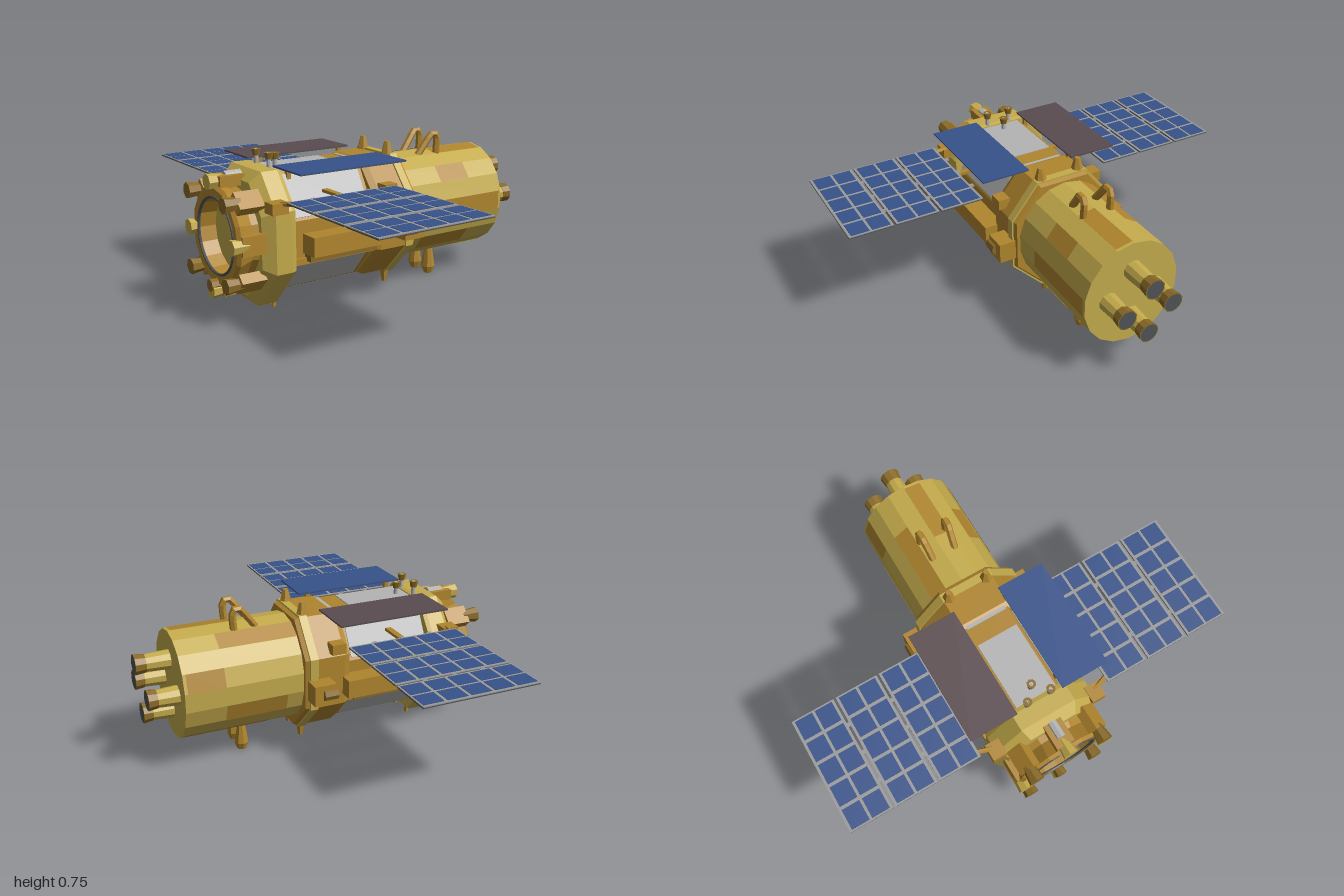
import * as THREE from 'three';

const mat = (color) => new THREE.MeshStandardMaterial({ color, flatShading: true, side: THREE.DoubleSide });
const GOLD = mat(0xc4ab4c), AMBER = mat(0xb0852e), BROWN = mat(0x8a6a26), SILVER = mat(0xb4b4b4),
  FRAME = mat(0x9a9a9a), DARK = mat(0x505356), BLUE = mat(0x36528a), PLUM = mat(0x5a4c50);
const CY = 0.38;

function add(parent, name, geo, m, x = 0, y = 0, z = 0) {
  const mesh = new THREE.Mesh(geo, m);
  mesh.name = name;
  mesh.position.set(x, y, z);
  parent.add(mesh);
  return mesh;
}
const box = (w, h, d) => new THREE.BoxGeometry(w, h, d);
// cylinder lying along z
const tubeZ = (r0, r1, len, n) => new THREE.CylinderGeometry(r1, r0, len, n).rotateX(Math.PI / 2);

// half outline (right side, bottom to top) mirrored into a closed octagon
function octagon(half) {
  return [...half, ...half.slice().reverse().map(([x, y]) => [-x, y])];
}

// capped loft of one outline through [z, scale] sections
function loft(outline, sections) {
  const pos = [], n = outline.length;
  const pt = (i, [z, s]) => [outline[i % n][0] * s, CY + (outline[i % n][1] - CY) * s, z];
  const tri = (a, b, c) => pos.push(...a, ...b, ...c);
  for (let k = 0; k < sections.length - 1; k++) {
    for (let i = 0; i < n; i++) {
      const a = pt(i, sections[k]), b = pt(i + 1, sections[k]);
      const c = pt(i + 1, sections[k + 1]), d = pt(i, sections[k + 1]);
      tri(a, b, c);
      tri(a, c, d);
    }
  }
  const first = sections[0], last = sections[sections.length - 1];
  for (let i = 1; i < n - 1; i++) {
    tri(pt(0, first), pt(i + 1, first), pt(i, first));
    tri(pt(0, last), pt(i, last), pt(i + 1, last));
  }
  const g = new THREE.BufferGeometry();
  g.setAttribute('position', new THREE.Float32BufferAttribute(pos, 3));
  g.computeVertexNormals();
  return g;
}

// thin panel lying between two outline corners
function facePanel(parent, name, [x0, y0], [x1, y1], z0, z1, m, fill = 0.9) {
  const len = Math.hypot(x1 - x0, y1 - y0);
  const p = add(parent, name, box(len * fill, 0.008, z1 - z0), m, (x0 + x1) / 2, (y0 + y1) / 2, (z0 + z1) / 2);
  p.rotation.z = Math.atan2(y1 - y0, x1 - x0);
}

function bentTube(points, r) {
  const curve = new THREE.CatmullRomCurve3(points.map((p) => new THREE.Vector3(...p)));
  return new THREE.TubeGeometry(curve, 10, r, 6);
}

function solarWing(side) {
  const wing = new THREE.Group();
  wing.name = side > 0 ? 'leftSolarWing' : 'rightSolarWing';
  const z0 = 0.06, depth = 0.57, w = 0.212;
  for (let p = 0; p < 3; p++) {
    const x = side * (0.446 + p * 0.2235);
    add(wing, 'panelBack', box(w, 0.005, depth), DARK, x, 0.566, z0 + depth / 2);
    add(wing, 'panelFrame', box(w, 0.004, depth), FRAME, x, 0.5705, z0 + depth / 2);
    for (let c = 0; c < 2; c++) {
      for (let r = 0; r < 5; r++) {
        add(wing, 'solarCell', box(0.087, 0.002, 0.098), BLUE,
          x + (c - 0.5) * 0.1, 0.5733, z0 + depth * (r + 0.5) / 5);
      }
    }
    // hinges towards the body
    for (const z of [0.2, 0.345, 0.49]) {
      add(wing, 'hinge', box(0.024, 0.008, 0.02), FRAME, x - side * 0.112, 0.566, z);
    }
  }
  add(wing, 'wingArm', box(0.16, 0.014, 0.03), AMBER, side * 0.27, 0.56, 0.345);
  add(wing, 'wingStrut', bentTube([[side * 0.2, 0.52, 0.6], [side * 0.27, 0.55, 0.62], [side * 0.35, 0.562, 0.6]], 0.012), AMBER);
  return wing;
}

export function createModel() {
  const model = new THREE.Group();
  model.name = 'satellite';

  // rear barrel with darker foil strips
  const barrel = add(model, 'barrel', tubeZ(0.255, 0.255, 0.6, 18), GOLD, 0, 0.385, -0.395);
  barrel.scale.set(0.96, 1.035, 1);
  for (let i = 0; i < 9; i++) {
    const len = 0.18 + 0.12 * (i % 3);
    const strip = new THREE.CylinderGeometry(0.257, 0.257, len, 1, 1, true, i * 4 * Math.PI / 18, Math.PI / 9);
    const s = add(model, 'foilStrip', strip.rotateX(Math.PI / 2), AMBER, 0, 0.385, -0.68 + len / 2 + 0.09 * ((i * 2) % 4));
    s.scale.copy(barrel.scale);
  }

  // rear thruster tubes
  for (const [x, y, end] of [[0, 0.51, -0.86], [0.12, 0.38, -0.84], [-0.12, 0.38, -0.84], [0, 0.26, -0.84]]) {
    const len = -0.69 - end;
    add(model, 'thrusterBase', tubeZ(0.042, 0.048, len * 0.75, 10), GOLD, x, y, -0.69 - len * 0.375);
    add(model, 'thrusterTip', tubeZ(0.05, 0.044, len * 0.3, 10), BROWN, x, y, end + len * 0.15);
    add(model, 'thrusterEnd', new THREE.CircleGeometry(0.045, 10), DARK, x, y, end - 0.001);
  }

  // octagonal body
  const core = octagon([[0.09, 0.1], [0.235, 0.27], [0.235, 0.45], [0.115, 0.655]]);
  add(model, 'body', loft(core, [[-0.1, 1], [0.58, 1]]), AMBER);
  facePanel(model, 'bottomPanel', core[0], core[7], 0.11, 0.55, SILVER);
  facePanel(model, 'topPanelRear', core[3], core[4], 0, 0.11, SILVER);
  facePanel(model, 'topPanelFront', core[3], core[4], 0.2, 0.56, SILVER);
  for (const i of [0, 2, 4, 6]) {
    facePanel(model, 'slopedPanel', core[i], core[i + 1], 0.13, 0.55, SILVER, 0.88);
  }

  // collar behind the body
  const collar = octagon([[0.11, 0.09], [0.265, 0.25], [0.265, 0.5], [0.13, 0.665]]);
  add(model, 'rearCollar', loft(collar, [[-0.12, 0.97], [-0.1, 1], [0.08, 1], [0.11, 0.95]]), AMBER);
  add(model, 'collarBand', loft(collar, [[-0.1, 1.03], [-0.06, 1.03]]), GOLD);

  // flared plate in front of the body
  const plate = octagon([[0.085, 0.035], [0.265, 0.23], [0.265, 0.51], [0.14, 0.67]]);
  add(model, 'frontPlate', loft(plate, [[0.54, 0.98], [0.56, 1], [0.64, 1], [0.69, 0.84]]), GOLD);
  facePanel(model, 'lowerFrontPanel', plate[0], plate[7], 0.56, 0.63, SILVER);

  // open front ring with a recessed disc
  const profile = [[0.22, 0.66], [0.205, 0.72], [0.235, 0.79], [0.22, 0.805], [0.182, 0.8], [0.175, 0.7]]
    .map(([r, h]) => new THREE.Vector2(r, h));
  add(model, 'frontRing', new THREE.LatheGeometry(profile, 16).rotateX(Math.PI / 2), AMBER, 0, 0.375, 0);
  add(model, 'frontDisc', new THREE.CircleGeometry(0.18, 24), GOLD, 0, 0.375, 0.715);
  add(model, 'ringLip', new THREE.TorusGeometry(0.177, 0.007, 6, 32), DARK, 0, 0.375, 0.8);
  for (let k = 0; k < 8; k++) {
    const a = k * Math.PI / 4, upright = k === 2 || k === 6;
    const r = upright ? 0.25 : k % 2 ? 0.255 : 0.215;
    const lug = new THREE.Group();
    lug.name = 'ringLug';
    lug.position.set(Math.cos(a) * r, 0.375 + Math.sin(a) * r, 0);
    lug.rotation.z = a;
    model.add(lug);
    add(lug, 'lugRoot', box(0.05, 0.09, 0.12), AMBER, 0, 0, 0.73);
    add(lug, 'lugTip', tubeZ(0.028, 0.038, 0.08, 7), k % 2 ? BROWN : GOLD, 0, 0, k % 2 ? 0.81 : 0.795);
  }
  add(model, 'topSensor', tubeZ(0.025, 0.025, 0.08, 8), SILVER, 0, 0.64, 0.71);
  add(model, 'bottomSensor', tubeZ(0.025, 0.03, 0.1, 8), BROWN, 0, 0.15, 0.79);

  for (const s of [1, -1]) {
    // side equipment
    add(model, 'sideBox', box(0.1, 0.09, 0.42), AMBER, s * 0.28, 0.345, 0.28);
    add(model, 'sideBoxTray', box(0.06, 0.04, 0.36), BROWN, s * 0.255, 0.285, 0.3);
    add(model, 'collarBox', box(0.1, 0.1, 0.11), AMBER, s * 0.295, 0.35, -0.055);
    add(model, 'collarPod', tubeZ(0.03, 0.03, 0.07, 8), BROWN, s * 0.335, 0.35, -0.03);
    add(model, 'shoulderBlock', box(0.07, 0.05, 0.08), AMBER, s * 0.265, 0.535, 0.635);
    add(model, 'rearShoulder', box(0.06, 0.05, 0.07), AMBER, s * 0.255, 0.54, 0.04);
    add(model, 'lowerRail', box(0.03, 0.03, 0.46), AMBER, s * 0.235, 0.265, 0.33);

    // flat upper panels on short legs
    add(model, s > 0 ? 'leftUpperPanel' : 'rightUpperPanel', box(0.24, 0.005, 0.56), s > 0 ? BLUE : PLUM, s * 0.238, 0.685, 0.29);
    add(model, 'upperPanelBack', box(0.238, 0.003, 0.558), DARK, s * 0.238, 0.681, 0.29);
    for (const z of [0.06, 0.5]) add(model, 'panelLeg', box(0.02, 0.07, 0.02), AMBER, s * 0.13, 0.645, z);

    // barrel handles, lower pegs and collar fins
    add(model, 'barrelHandle', bentTube([[s * 0.06, 0.63, -0.29], [s * 0.065, 0.69, -0.335],
      [s * 0.07, 0.735, -0.375], [s * 0.07, 0.725, -0.4], [s * 0.07, 0.63, -0.4]], 0.018), AMBER);
    const peg = add(model, 'lowerPeg', new THREE.CylinderGeometry(0.02, 0.035, 0.1, 8), AMBER, s * 0.055, 0.085, -0.375);
    add(peg, 'pegFoot', new THREE.CylinderGeometry(0.035, 0.022, 0.035, 8), AMBER, 0, -0.0675, 0);
    add(model, 'topFin', new THREE.CylinderGeometry(0.014, 0.035, 0.08, 6), AMBER, s * 0.1, 0.69, -0.07);
    add(model, 'bottomFin', new THREE.CylinderGeometry(0.03, 0.012, 0.09, 6), AMBER, s * 0.08, 0.065, -0.07);
    add(model, 'plateFoot', new THREE.CylinderGeometry(0.012, 0.012, 0.05, 6), AMBER, s * 0.06, 0.035, 0.55);
    model.add(solarWing(s));
  }

  // small antennas on the top
  for (const [x, z, top] of [[-0.06, 0.555, 0.735], [0.06, 0.555, 0.735], [0, 0.49, 0.72]]) {
    add(model, 'antennaStem', new THREE.CylinderGeometry(0.01, 0.012, top - 0.65, 8), SILVER, x, (top + 0.65) / 2, z);
    add(model, 'antennaCap', new THREE.CylinderGeometry(0.022, 0.016, 0.03, 8), BROWN, x, top - 0.015, z);
  }
  return model;
}
